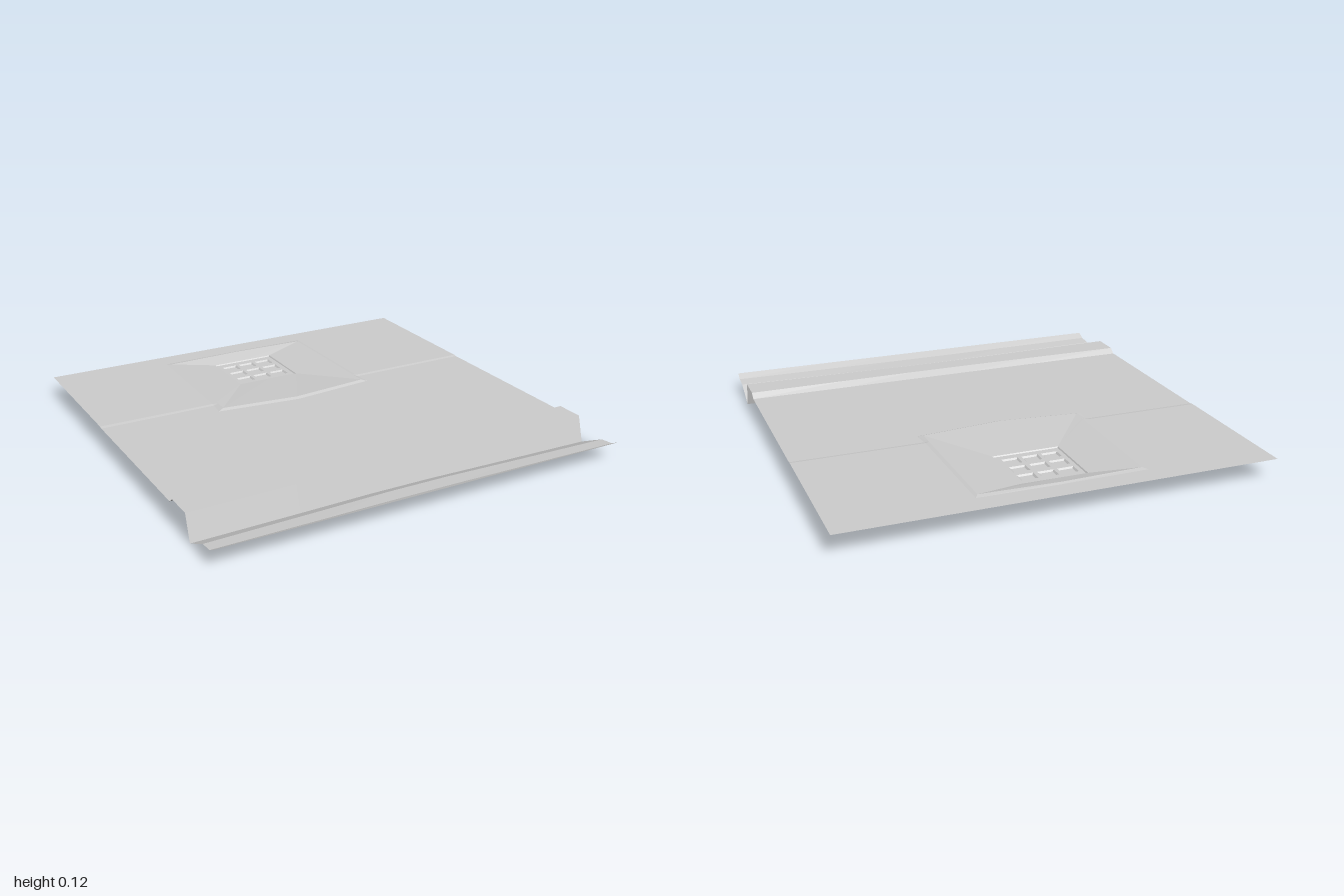
import * as THREE from 'three';

const concrete = new THREE.MeshStandardMaterial({ color: 0xcccccc, side: THREE.DoubleSide });
concrete.name = 'concrete grey';

// Flat-shaded surface between two rows of points (normals up when rows run +x and step to +z)
function strip(name, rowA, rowB) {
  const pos = [];
  for (let i = 0; i < rowA.length - 1; i++) {
    const a = rowA[i], b = rowA[i + 1], c = rowB[i], d = rowB[i + 1];
    pos.push(...a, ...c, ...b, ...b, ...c, ...d);
  }
  const geo = new THREE.BufferGeometry();
  geo.setAttribute('position', new THREE.Float32BufferAttribute(pos, 3));
  geo.computeVertexNormals();
  return mesh(name, geo);
}

function mesh(name, geo) {
  const m = new THREE.Mesh(geo, concrete);
  m.name = name;
  return m;
}

// Level sheet at height y from [x, z] outline and holes
function plate(name, outline, y, holes = []) {
  const path = (pts) => pts.map(([x, z]) => new THREE.Vector2(x, -z));
  const shape = new THREE.Shape(path(outline));
  shape.holes = holes.map((h) => new THREE.Path(path(h)));
  const geo = new THREE.ShapeGeometry(shape).rotateX(-Math.PI / 2).translate(0, y, 0);
  return mesh(name, geo);
}

const at = (pts, y) => pts.map(([x, z]) => [x, y, z]);
const closed = (pts) => [...pts, pts[0]];
const rect = (x0, x1, z0, z1) => [[x0, z1], [x1, z1], [x1, z0], [x0, z0]];

export function createModel() {
  const group = new THREE.Group();
  const frontY = 0.097, backY = 0.1, lipY = 0.104;

  // Kerb and gutter: rows of [z at the ends, shift at the middle, y]
  const xs = [-1, -0.5, -0.15, 0.15, 0.5, 1];
  const bow = [0, 0.55, 1, 1, 0.55, 0];
  const row = ([z, shift, y]) => xs.map((x, i) => [x, y, z + shift * bow[i]]);
  const profile = [
    ['kerbRamp', [0.567, 0, frontY]],
    ['kerbTop', [0.597, 0.01, 0.12]],
    ['kerbFace', [0.73, -0.022, 0.12]],
    ['gutterSlope', [0.765, -0.022, 0]],
    ['gutterShelf', [0.895, -0.027, 0.063]],
    ['gutterEdge', [0.962, -0.01, 0.07]],
    ['', [1, 0, 0.09]],
  ];
  for (let i = 0; i < profile.length - 1; i++) {
    group.add(strip(profile[i][0], row(profile[i][1]), row(profile[i + 1][1])));
  }

  // Outer outline of the basin, front left round to back left
  const front = [[-0.44, -0.185], [-0.03, -0.14], [0.39, -0.185]];
  const back = [[0.37, -0.895], [0, -0.9], [-0.42, -0.895]];
  const jointF = [[-0.43, -0.263], [0.38, -0.263]];
  const jointB = [[-0.43, -0.28], [0.38, -0.28]];

  // Pavement in two levels with a joint between them
  group.add(plate('frontPavement', [
    [-1, 0.567], [1, 0.567], [1, -0.263], jointF[1], front[2], front[1], front[0], jointF[0], [-1, -0.263],
  ], frontY));
  group.add(plate('backPavement', [
    [-1, -0.283], jointB[0], back[2], back[1], back[0], jointB[1], [1, -0.28], [1, -1], [-1, -1],
  ], backY));
  group.add(strip('leftJoint', at([jointB[1], [1, -0.28]], backY), at([jointF[1], [1, -0.263]], frontY)));
  group.add(strip('rightJoint', at([[-1, -0.283], jointB[0]], backY), at([[-1, -0.263], jointF[0]], frontY)));

  // Raised lip around the basin
  const outer = closed([
    ...at(front, frontY), ...at([jointF[1]], frontY), ...at([jointB[1]], backY),
    ...at(back, backY), ...at([jointB[0]], backY), ...at([jointF[0]], frontY),
  ]);
  const lip = closed(at([
    [-0.41, -0.2], [-0.03, -0.158], [0.365, -0.2], [0.363, -0.263], [0.363, -0.28],
    [0.355, -0.872], [-0.02, -0.884], [-0.4, -0.872], [-0.406, -0.28], [-0.408, -0.263],
  ], lipY));
  group.add(strip('basinLip', lip, outer));

  // Sloping walls down to the drain
  const L = -0.18, R = 0.14, F = -0.49, B = -0.8;
  const foot = closed(at([
    [L, F], [-0.02, F], [R, F], [R, F], [R, F], [R, B], [-0.02, B], [L, B], [L, F], [L, F],
  ], 0.082));
  group.add(strip('basinWalls', foot, lip));

  // Drain grate with nine recessed slots
  const grate = new THREE.Group();
  grate.name = 'drainGrate';
  const rim = rect(L, R, B, F), bed = rect(L + 0.004, R - 0.004, B + 0.004, F - 0.004);
  const bedY = 0.077, slotY = 0.07, holes = [];
  for (const x of [-0.156, -0.062, 0.034]) {
    for (const z of [-0.76, -0.672, -0.585]) {
      const hole = rect(x, x + 0.077, z, z + 0.058);
      const base = rect(x + 0.007, x + 0.07, z + 0.007, z + 0.051);
      holes.push(hole);
      grate.add(strip('slotWalls', closed(at(base, slotY)), closed(at(hole, bedY))));
      grate.add(plate('slotFloor', base, slotY));
    }
  }
  grate.add(strip('grateFrame', closed(at(bed, bedY)), closed(at(rim, 0.082))));
  grate.add(plate('grateBed', bed, bedY, holes));
  group.add(grate);

  return group;
}
